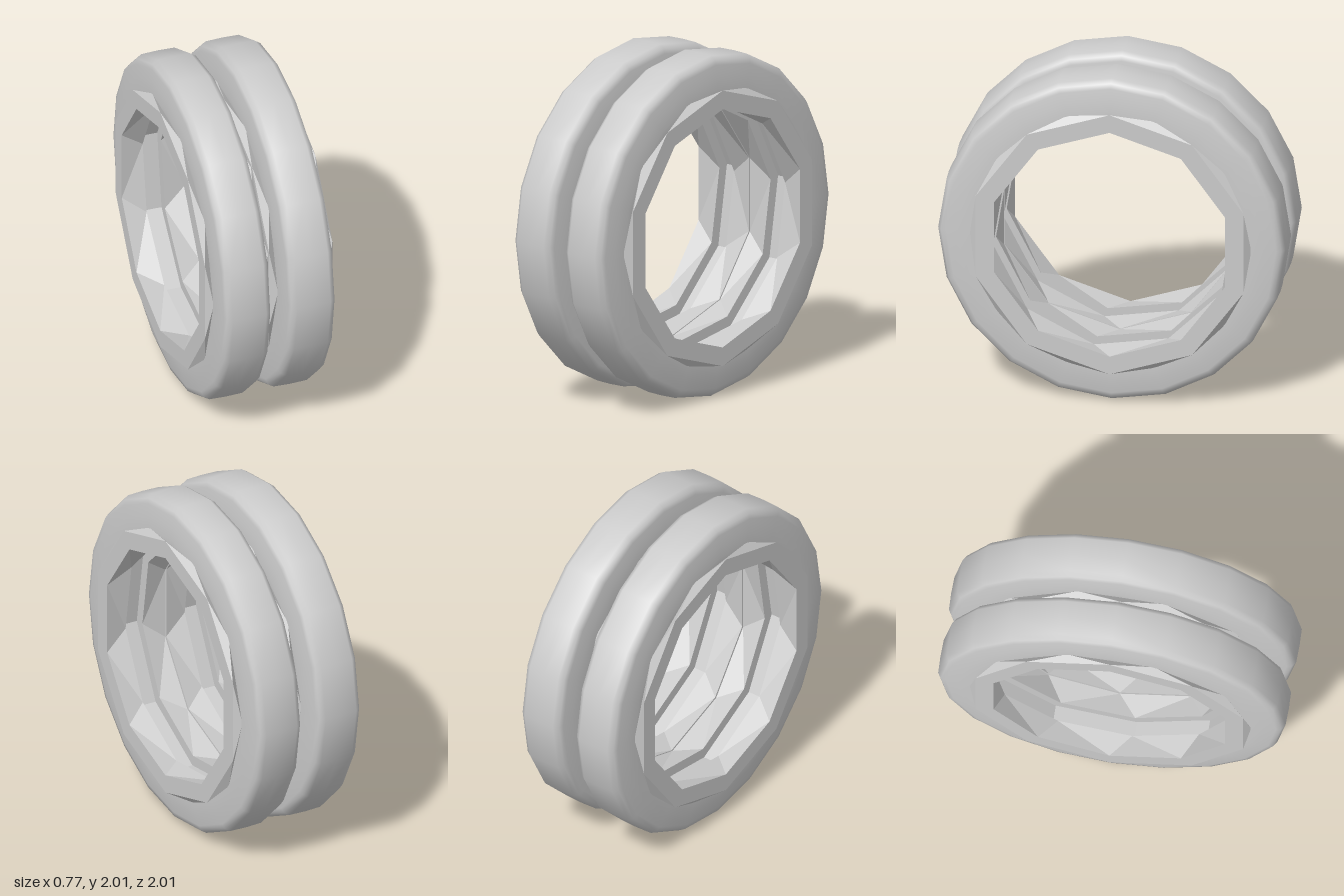
import * as THREE from 'three';

const SIDES = 10;

// Faceted ring around x: each row is [x, radius, twist in steps]; rows form a closed loop
function ringFromRows(rows) {
  const pos = [];
  const point = ([x, r, t], i) => {
    const a = Math.PI / 2 + ((i + t) / SIDES) * Math.PI * 2;
    return [x, r * Math.sin(a), r * Math.cos(a)];
  };
  rows.forEach((a, k) => {
    const b = rows[(k + 1) % rows.length];
    for (let i = 0; i < SIDES; i++) {
      const a0 = point(a, i), a1 = point(a, i + 1);
      const b0 = point(b, i), b1 = point(b, i + 1);
      // choose the diagonal that suits the twist
      if (b[2] >= a[2]) pos.push(...a0, ...a1, ...b0, ...a1, ...b1, ...b0);
      else pos.push(...a0, ...a1, ...b1, ...a0, ...b1, ...b0);
    }
  });
  const geo = new THREE.BufferGeometry();
  geo.setAttribute('position', new THREE.Float32BufferAttribute(pos, 3));
  geo.computeVertexNormals();
  return geo;
}

export function createModel() {
  const group = new THREE.Group();
  const smooth = new THREE.MeshStandardMaterial({ color: 0xcccccc, side: THREE.DoubleSide });
  const faceted = new THREE.MeshStandardMaterial({ color: 0xcccccc, flatShading: true, side: THREE.DoubleSide });

  // Tyre cross-section (radius, offset along the axle), rounded shoulders
  const profile = [
    [0.765, -0.15], [0.81, -0.153], [0.88, -0.147], [0.95, -0.138], [0.98, -0.13], [1.0, -0.1], [1.003, 0],
    [1.0, 0.1], [0.98, 0.13], [0.95, 0.138], [0.88, 0.147], [0.81, 0.153], [0.765, 0.15],
  ].map(([r, x]) => new THREE.Vector2(r, x));
  const tyreGeo = new THREE.LatheGeometry(profile, 20);
  tyreGeo.rotateZ(-Math.PI / 2);

  // Rim: flat end lips, twisted outer flanges and a channel on the inside
  const rimGeo = ringFromRows([
    [-0.19, 0.81, 0], [-0.15, 0.81, 0.5], [0.15, 0.81, 0.5], [0.19, 0.81, 0],
    [0.19, 0.7, 0], [0.055, 0.7, 0.25], [0.055, 0.765, 0.25],
    [-0.055, 0.765, 0.25], [-0.055, 0.7, 0.25], [-0.19, 0.7, 0],
  ]);

  for (const side of [-1, 1]) {
    const wheel = new THREE.Group();
    wheel.name = side > 0 ? 'leftWheel' : 'rightWheel';
    const tyre = new THREE.Mesh(tyreGeo, smooth);
    tyre.name = 'tyre';
    const rim = new THREE.Mesh(rimGeo, faceted);
    rim.name = 'rim';
    wheel.add(tyre, rim);
    wheel.position.set(side * 0.1935, 1, 0);
    group.add(wheel);
  }
  return group;
}
